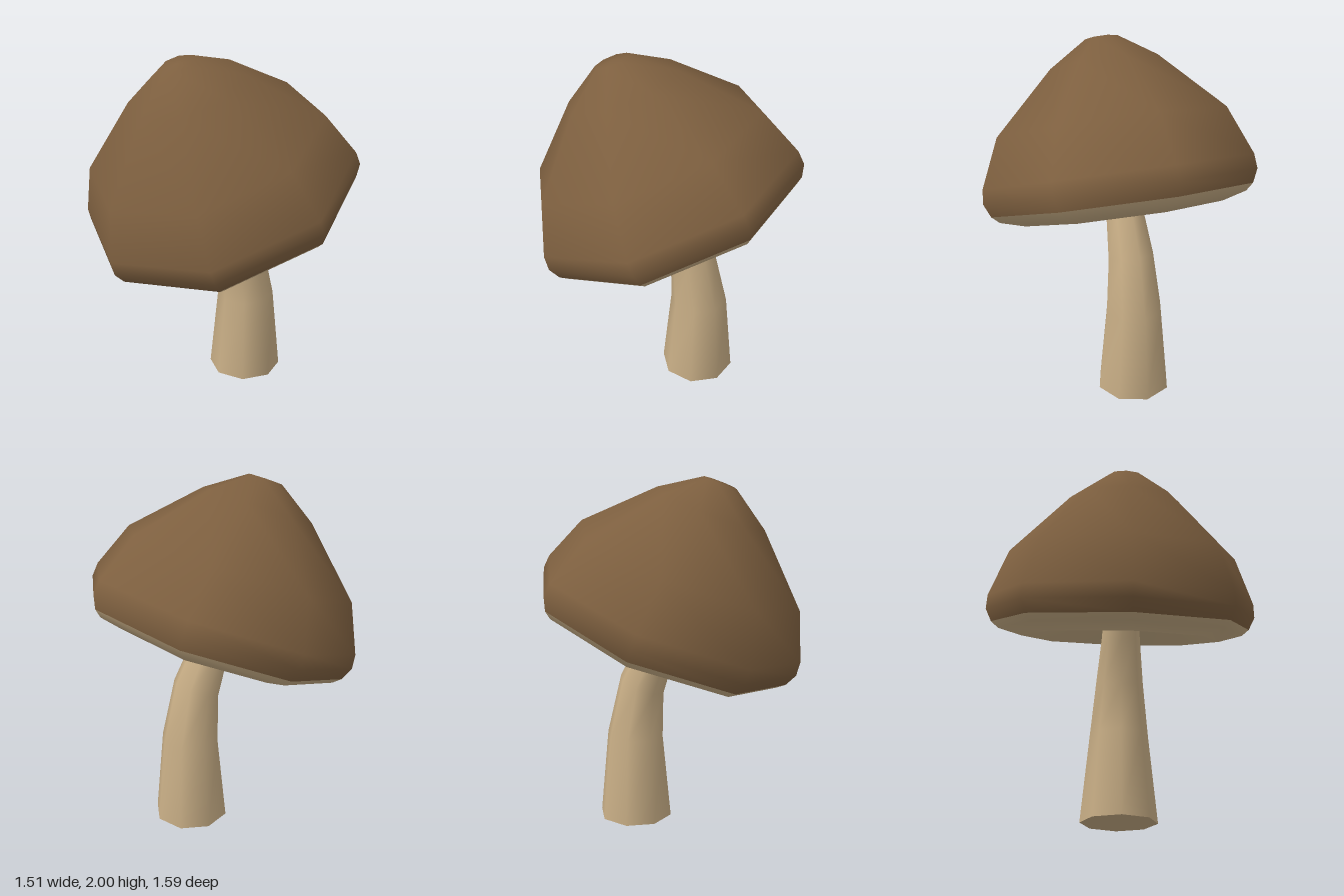
import * as THREE from 'three';

const SIDES = 8;
const TILT = 0.366; // lean of the cap, in radians

const brown = new THREE.MeshStandardMaterial({ color: 0x7d5f3f });
const cream = new THREE.MeshStandardMaterial({ color: 0xc7ad85 });

function lathe(name, profile, material) {
  const points = profile.map(([r, y]) => new THREE.Vector2(r, y));
  const mesh = new THREE.Mesh(new THREE.LatheGeometry(points, SIDES), material);
  mesh.name = name;
  return mesh;
}

// Skins a row of rings, each [centre x, centre y, radius, tilt about z]
function loft(rings) {
  const positions = [];
  const index = [];
  rings.forEach(([cx, cy, r, tilt], i) => {
    for (let j = 0; j < SIDES; j++) {
      const a = (j / SIDES) * Math.PI * 2;
      const u = r * Math.cos(a);
      positions.push(cx + u * Math.cos(tilt), cy + u * Math.sin(tilt), r * Math.sin(a));
      if (i === 0) continue;
      const k = (j + 1) % SIDES;
      const low = (i - 1) * SIDES;
      const high = i * SIDES;
      index.push(low + j, high + j, low + k, high + j, high + k, low + k);
    }
  });
  const geometry = new THREE.BufferGeometry();
  geometry.setAttribute('position', new THREE.Float32BufferAttribute(positions, 3));
  geometry.setIndex(index);
  geometry.computeVertexNormals();
  return geometry;
}

export function createModel() {
  const model = new THREE.Group();
  model.name = 'mushroom';

  // Tilted cap: domed top and hollow underside
  const cap = new THREE.Group();
  cap.name = 'cap';
  cap.position.set(0.051, 1.091, 0);
  cap.rotation.z = TILT;
  cap.add(lathe('capTop', [
    [0.762, 0.037], [0.795, 0.11], [0.787, 0.19], [0.671, 0.456],
    [0.322, 0.793], [0.097, 0.94], [0, 0.943],
  ], brown));
  cap.add(lathe('capUnderside', [
    [0, 0.2], [0.1, 0.165], [0.583, -0.04], [0.72, 0.0], [0.762, 0.037],
  ], cream));
  model.add(cap);

  // Curved stem, running up into the hollow of the cap
  const stem = new THREE.Mesh(loft([
    [0.208, 0, 0.217, 0],
    [0.208, 0.5, 0.168, 0.03],
    [0.163, 0.81, 0.137, TILT],
    [0.065, 1.055, 0.112, TILT],
    [-0.012, 1.25, 0.1, TILT],
  ]), cream);
  stem.name = 'stem';
  model.add(stem);

  // Flat foot of the stem
  const foot = new THREE.Mesh(new THREE.CircleGeometry(0.217, SIDES), cream);
  foot.name = 'stemFoot';
  foot.rotation.x = Math.PI / 2;
  foot.position.x = 0.208;
  model.add(foot);

  return model;
}
